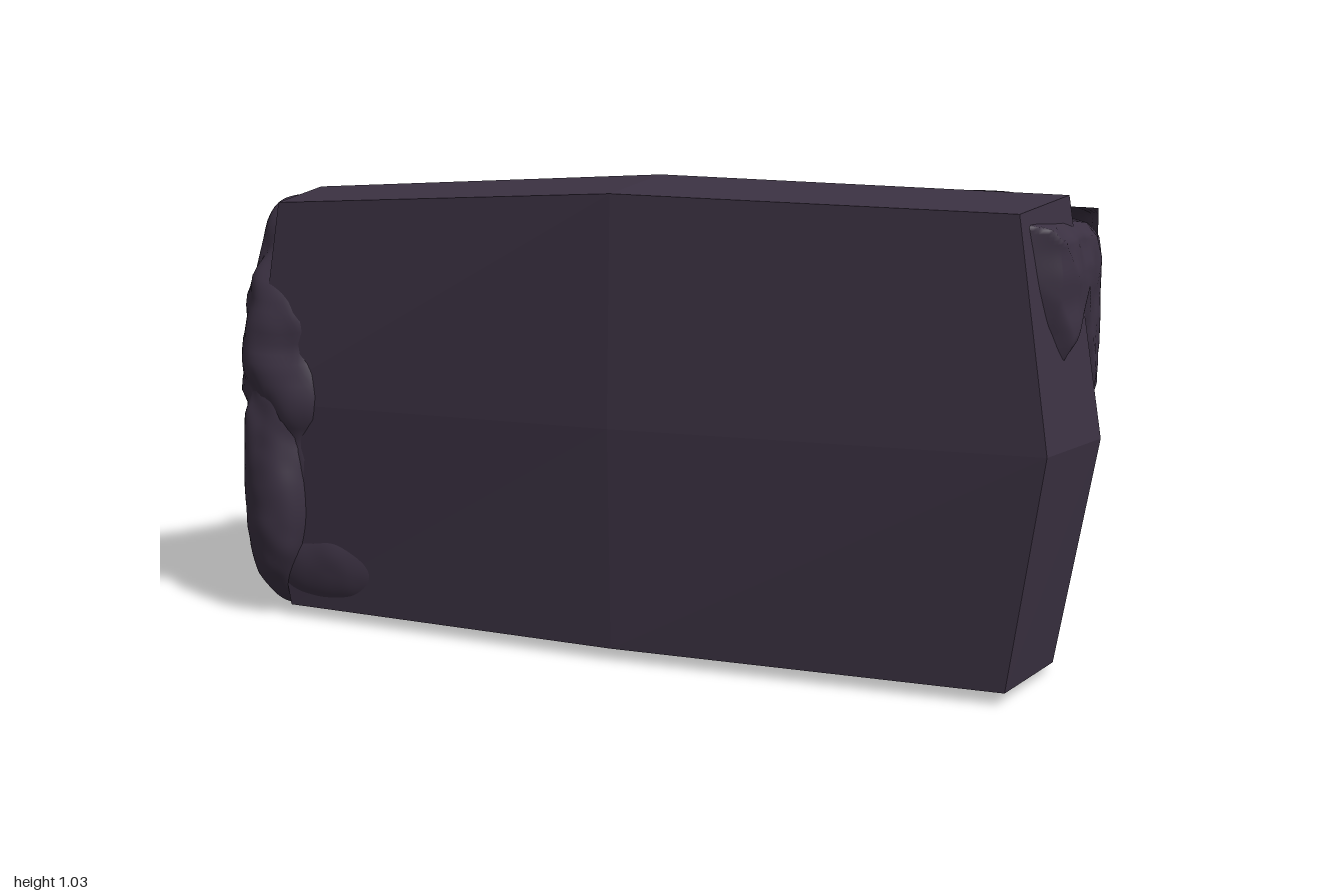
import * as THREE from 'three';
import { mergeVertices } from 'three/addons/utils/BufferGeometryUtils.js';

const stone = (opts = {}) => new THREE.MeshStandardMaterial({ color: 0x3b3142, ...opts });
const { lerp, smoothstep } = THREE.MathUtils;
const CX = 0.03, CZ = 0.04;

// Repeatable value noise in -1..1
function hash(x, y, z) {
  const s = Math.sin(x * 127.1 + y * 311.7 + z * 74.7) * 43758.5453;
  return (s - Math.floor(s)) * 2 - 1;
}
function valueNoise(x, y, z) {
  const [ix, iy, iz] = [x, y, z].map(Math.floor);
  const [fx, fy, fz] = [x - ix, y - iy, z - iz].map((t) => t * t * (3 - 2 * t));
  const row = (j, k) => lerp(hash(ix, iy + j, iz + k), hash(ix + 1, iy + j, iz + k), fx);
  return lerp(lerp(row(0, 0), row(1, 0), fy), lerp(row(0, 1), row(1, 1), fy), fz);
}
const noise = (x, y, z) => 0.65 * valueNoise(8 * x, 8 * y, 8 * z) + 0.35 * valueNoise(19 * x, 19 * y, 19 * z);

// Linear lookup in a list of [position, value] points
function lookup(points, t) {
  for (let i = 1; i < points.length; i++) {
    const [a, va] = points[i - 1], [b, vb] = points[i];
    if (t <= b) return lerp(va, vb, Math.max(0, (t - a) / (b - a)));
  }
  return points[points.length - 1][1];
}

// Cut block: three eight-point rings, a low peaked top and a flat base
function cutBlock() {
  const ring = (y, cornerY, midX, midZ, cornerX, cornerZ) => [
    [cornerX, cornerY, cornerZ], [midX, y, 0], [cornerX, cornerY, -cornerZ], [0, y, -midZ],
    [-cornerX, cornerY, -cornerZ], [-midX, y, 0], [-cornerX, cornerY, cornerZ], [0, y, midZ],
  ].map(([x, yy, z]) => [x + CX, yy, z + CZ]);
  const rings = [
    ring(0.02, 0.02, 0.89, 0.275, 0.84, 0.245),
    ring(0.5, 0.5, 0.97, 0.29, 0.91, 0.262),
    ring(0.99, 0.96, 0.89, 0.272, 0.84, 0.245),
  ];
  const pos = [];
  const tri = (...corners) => corners.forEach((p) => pos.push(...p));
  const top = [CX, 1.025, CZ], base = [CX, 0.02, CZ];
  for (let i = 0; i < 8; i++) {
    const j = (i + 1) % 8;
    for (let k = 0; k < 2; k++) {
      const a = rings[k][i], b = rings[k][j], c = rings[k + 1][j], d = rings[k + 1][i];
      tri(a, b, c);
      tri(a, c, d);
    }
    tri(rings[2][i], rings[2][j], top);
    tri(rings[0][j], rings[0][i], base);
  }
  const geo = new THREE.BufferGeometry();
  geo.setAttribute('position', new THREE.Float32BufferAttribute(pos, 3));
  geo.computeVertexNormals();
  return new THREE.Mesh(geo, stone({ flatShading: true }));
}

// Rounded boulder shape with a roughened surface
function lump(center, half, power, rough) {
  let geo = new THREE.SphereGeometry(1, 80, 64);
  geo.deleteAttribute('uv');
  geo.deleteAttribute('normal');
  geo = mergeVertices(geo, 1e-4);
  const p = geo.attributes.position, v = new THREE.Vector3(), dir = new THREE.Vector3();
  for (let i = 0; i < p.count; i++) {
    dir.fromBufferAttribute(p, i);
    const r = Math.pow(Math.abs(dir.x) ** power + Math.abs(dir.y) ** power + Math.abs(dir.z) ** power, -1 / power);
    v.copy(dir).multiplyScalar(r).multiply(new THREE.Vector3(...half)).add(new THREE.Vector3(...center));
    v.addScaledVector(dir, rough * noise(v.x, v.y, v.z));
    p.setXYZ(i, v.x, v.y, v.z);
  }
  geo.computeVertexNormals();
  return new THREE.Mesh(geo, stone());
}

// Grid whose points are placed by a rule of u and v
function relief(width, height, place) {
  const geo = new THREE.PlaneGeometry(width, height, 110, 70);
  const p = geo.attributes.position;
  for (let i = 0; i < p.count; i++) p.setXYZ(i, ...place(p.getX(i), p.getY(i)));
  geo.computeVertexNormals();
  return new THREE.Mesh(geo, stone({ side: THREE.DoubleSide }));
}

// Uncut back: sinks into the block where the cut face shows
function roughBack() {
  const depthByX = [[-0.87, -0.04], [-0.75, 0.015], [-0.6, 0.04], [-0.4, 0.105], [-0.18, 0.145], [0, 0.135],
    [0.1, 0.125], [0.2, 0.138], [0.45, 0.138], [0.55, 0.125], [0.8, 0.12], [0.88, 0.08], [0.93, 0], [0.95, -0.07]];
  const depthByY = [[0.02, 0.03], [0.1, 0.055], [0.3, 0.095], [0.4, 0.115], [0.5, 0.132], [0.6, 0.138],
    [0.7, 0.128], [0.85, 0.105], [0.93, 0.078], [0.97, 0.03], [0.985, -0.05]];
  const lowerEdge = [[-0.87, 0.5], [-0.6, 0.28], [-0.4, 0.12], [-0.2, -0.04], [0.1, -0.18],
    [0.3, -0.1], [0.46, 0.05], [0.65, 0.16], [0.76, 0.13], [0.85, 0], [0.95, 0.1]];
  return relief(1.82, 0.965, (u, v) => {
    const x = 0.04 - u, y = v + 0.5025;
    const fade = smoothstep(y - lookup(lowerEdge, x), -0.02, 0.32);
    const full = Math.min(lookup(depthByX, x), lookup(depthByY, y));
    const depth = lerp(-0.035, full, fade) + 0.02 * noise(x, y * 0.8, 0.2) * fade;
    // Follow the slopes of the cut top and ends, and tuck sunken edges inside the block
    const inset = lerp(0.88, 1, fade) - 0.14 * Math.max(0, 0.55 - y);
    return [CX + (x - CX) * inset, y * (1 - 0.03 * Math.abs(x - CX)), -0.215 - depth];
  });
}

// Uncut patch on the upper part of the left end
function roughLeftPatch() {
  const outByZ = [[-0.24, 0.84], [-0.22, 0.93], [-0.17, 0.955], [-0.05, 0.968], [0.15, 0.965], [0.22, 0.94], [0.26, 0.86]];
  const outByY = [[0.48, 0.99], [0.75, 0.975], [0.85, 0.963], [0.91, 0.948], [0.94, 0.92], [0.96, 0.84]];
  const lowerEdge = [[-0.24, 0.46], [-0.08, 0.47], [0, 0.62], [0.05, 0.69], [0.1, 0.65],
    [0.17, 0.6], [0.23, 0.68], [0.26, 0.78]];
  return relief(0.5, 0.5, (u, v) => {
    const z = 0.01 - u, y = v + 0.71;
    const fade = smoothstep(y - lookup(lowerEdge, z) + 0.02 * noise(1, y, z), 0, 0.13);
    const slope = Math.abs(y - 0.5) / 0.49;
    const cut = lerp(1, 0.92, slope) - 0.25 * Math.abs(z - CZ);
    const full = Math.min(lookup(outByZ, z), lookup(outByY, y)) + 0.014 * noise(0.3, y, z);
    return [lerp(cut - 0.03, full, fade), y * (1 - 0.06 * Math.abs(z - CZ)), Math.max(z, lerp(-0.17, -0.24, fade))];
  });
}

export function createModel() {
  const group = new THREE.Group();
  const add = (name, mesh) => {
    mesh.name = name;
    group.add(mesh);
  };
  add('cutBlock', cutBlock());
  add('roughBack', roughBack());
  add('roughLeftPatch', roughLeftPatch());
  add('roughTopPatch', lump([0.66, 0.962, -0.18], [0.2, 0.03, 0.11], 2, 0.004));

  // Fully uncut right end, flaring forward near the base
  add('roughRightEnd', lump([-0.82, 0.495, 0.055], [0.165, 0.475, 0.265], 2.5, 0.035));
  add('rightEndFlare', lump([-0.84, 0.33, 0.17], [0.115, 0.32, 0.18], 2.2, 0.02));
  add('roughFrontFoot', lump([-0.7, 0.12, 0.25], [0.19, 0.1, 0.055], 2, 0.008));

  // Small knobs under the base
  add('baseKnob', lump([0.22, 0.03, 0.14], [0.09, 0.026, 0.075], 2, 0.004));
  add('baseKnobLeft', lump([0.8, 0.03, -0.15], [0.08, 0.016, 0.06], 2, 0.004));
  return group;
}
